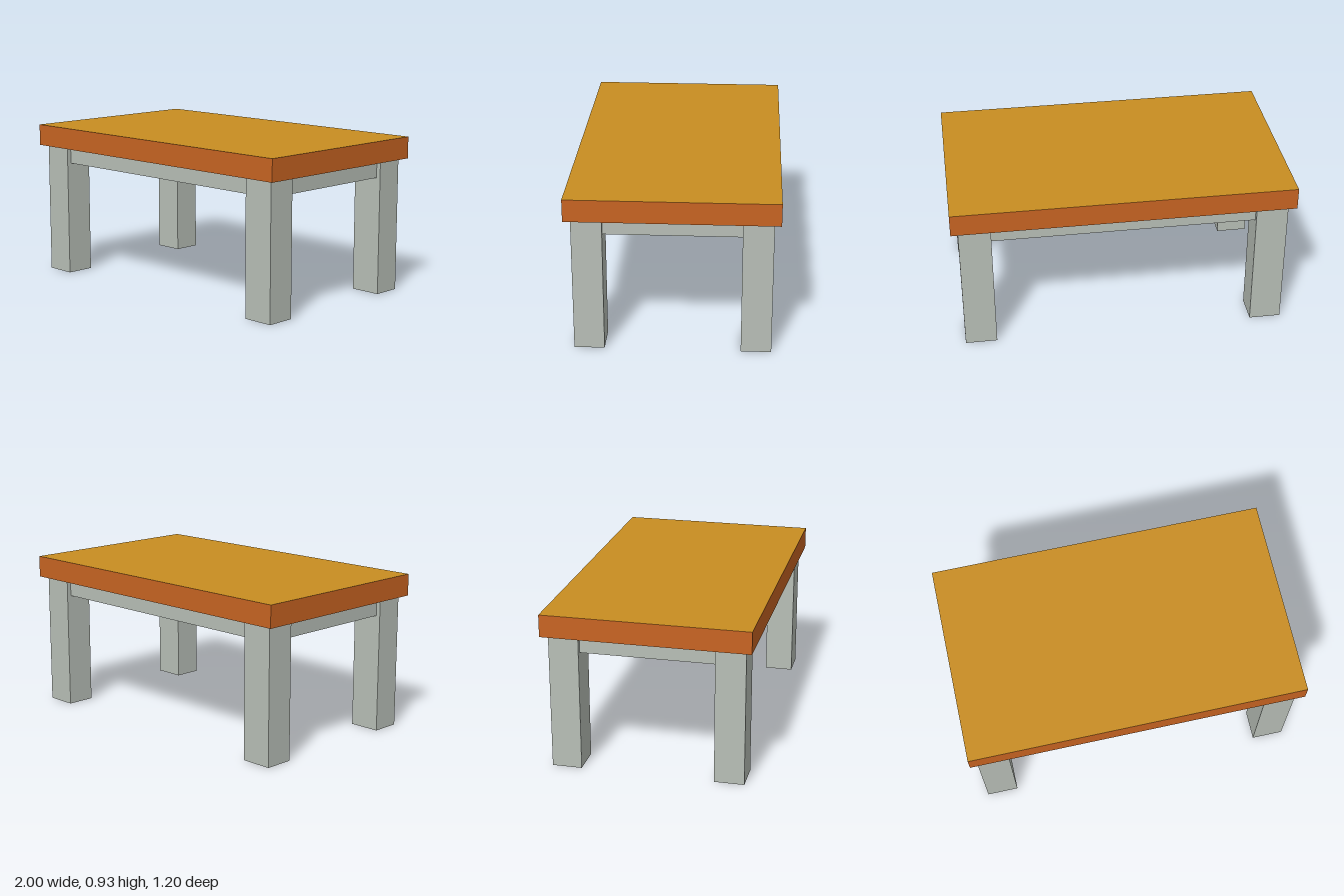
import * as THREE from 'three';

export function createModel() {
  const group = new THREE.Group();
  const mat = (name, color) => {
    const m = new THREE.MeshStandardMaterial({ color });
    m.name = name;
    return m;
  };
  const ochre = mat('ochre surface', 0xc98d21);
  const orange = mat('orange edge', 0xc86422);
  const grey = mat('pale grey frame', 0xb8bfb7);

  const box = (name, size, pos, material) => {
    const mesh = new THREE.Mesh(new THREE.BoxGeometry(...size), material);
    mesh.name = name;
    mesh.position.set(...pos);
    group.add(mesh);
  };

  // Slab: ochre above, orange edges, grey underneath
  box('tabletop', [2, 0.13, 1.195], [0, 0.867, 0], [orange, orange, ochre, grey, orange, orange]);

  const under = 0.802, legW = 0.187, legD = 0.173;
  const legX = 0.865, legZ = 0.474;
  const apronH = 0.1, apronY = under - apronH / 2;

  for (const s of [-1, 1]) {
    // Legs
    for (const t of [-1, 1]) {
      box(`${t > 0 ? 'front' : 'back'}${s > 0 ? 'Left' : 'Right'}Leg`,
        [legW, under, legD], [s * legX, under / 2, t * legZ], grey);
    }
    // Aprons between the legs, narrower than the legs and centred on them
    box(s > 0 ? 'frontApron' : 'backApron',
      [2 * legX - legW, apronH, 0.12], [0, apronY, s * legZ], grey);
    box(s > 0 ? 'leftApron' : 'rightApron',
      [0.135, apronH, 2 * legZ - legD], [s * legX, apronY, 0], grey);
  }
  return group;
}
